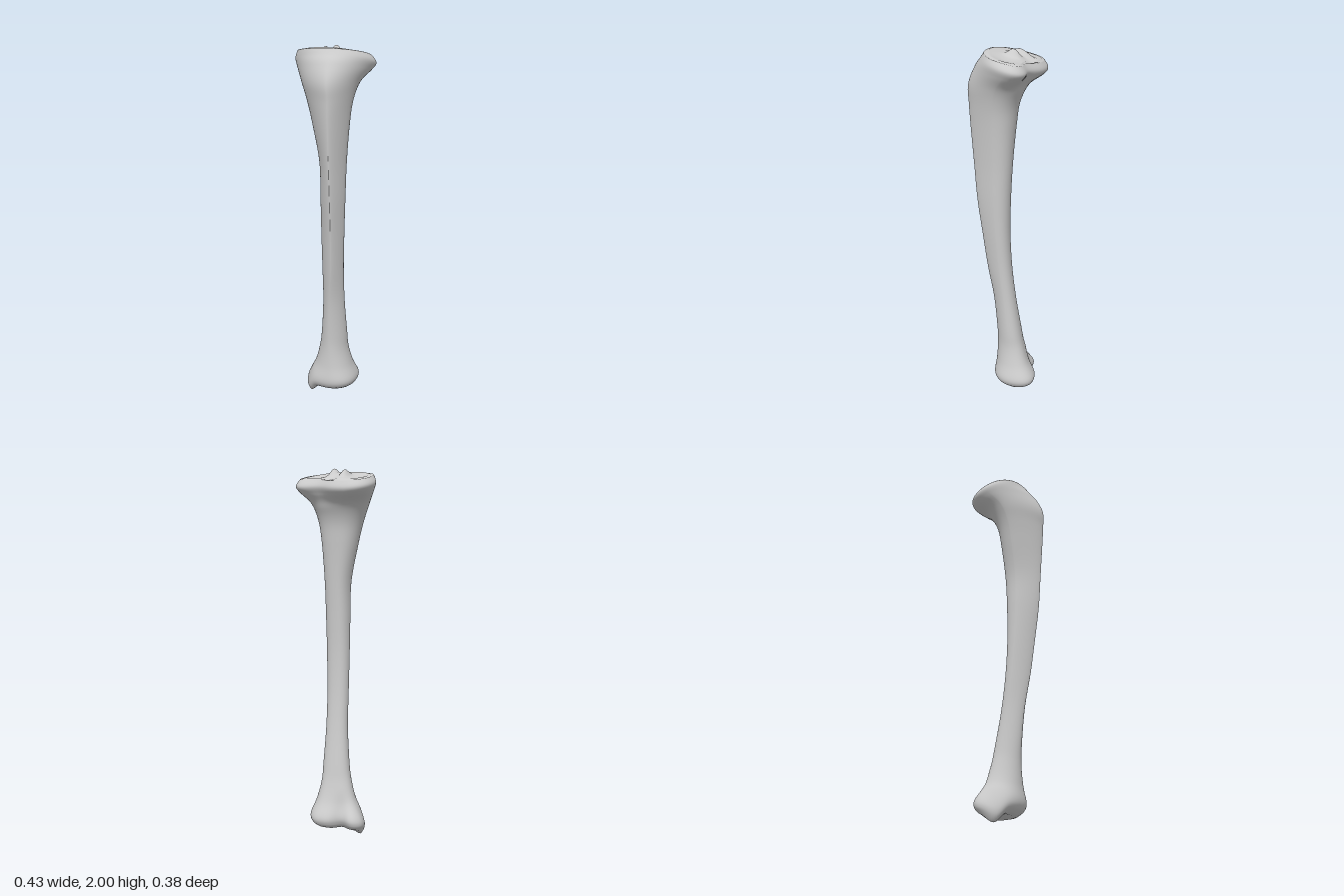
import * as THREE from 'three';

const SEG = 72;
const smooth = THREE.MathUtils.smoothstep;
const bump = (d, w) => Math.exp(-(d / w) * (d / w));

// Cross-sections, bottom to top:
// height, min x, max x, front z, back z, crest x, rearmost x, crest sharpness
const SECTIONS = [
  [0.055, -0.155, 0.095, 0.03, -0.145, -0.02, 0.03, 1],
  [0.08, -0.172, 0.12, 0.055, -0.17, -0.01, 0.04, 0.9],
  [0.12, -0.163, 0.13, 0.065, -0.175, 0, 0.04, 0.9],
  [0.2, -0.115, 0.103, 0.055, -0.135, 0, 0.03, 1],
  [0.3, -0.085, 0.082, 0.05, -0.105, 0, 0.02, 1.1],
  [0.4, -0.068, 0.078, 0.053, -0.087, 0, 0.01, 1.15],
  [0.6, -0.05, 0.072, 0.07, -0.055, 0.01, 0.01, 1.25],
  [0.8, -0.046, 0.075, 0.1, -0.032, 0.03, 0.01, 1.4],
  [1.0, -0.045, 0.083, 0.125, -0.022, 0.04, 0.01, 1.45],
  [1.2, -0.045, 0.09, 0.15, -0.025, 0.045, 0.01, 1.45],
  [1.4, -0.05, 0.096, 0.165, -0.035, 0.045, 0.01, 1.45],
  [1.6, -0.09, 0.11, 0.18, -0.05, 0.045, 0, 1.4],
  [1.72, -0.122, 0.126, 0.187, -0.065, 0.045, -0.01, 1.35],
  [1.81, -0.16, 0.153, 0.19, -0.105, 0.04, -0.03, 1.3],
  [1.88, -0.2, 0.198, 0.155, -0.165, 0.03, -0.08, 1.15],
  [1.925, -0.217, 0.217, 0.125, -0.19, 0.02, -0.1, 1],
  [1.96, -0.2, 0.195, 0.105, -0.17, 0, -0.1, 0.85],
];

// Smoothly blended section at t in 0..1
function sectionAt(t) {
  const last = SECTIONS.length - 1;
  const f = t * last, i = Math.min(Math.floor(f), last - 1), u = f - i;
  const row = (k) => SECTIONS[THREE.MathUtils.clamp(k, 0, last)];
  return SECTIONS[0].map((_, c) => {
    const [a, b, d, e] = [i - 1, i, i + 1, i + 2].map((k) => row(k)[c]);
    const m0 = (d - a) / 2, m1 = (e - b) / 2;
    return b + u * (m0 + u * (3 * (d - b) - 2 * m0 - m1 + u * (2 * (b - d) + m0 + m1)));
  });
}

// Ring of points: four quarter curves joining crest, sides and back
function makeRing([y, xL, xR, zF, zB, crest, rear, sharp]) {
  const top = smooth(y, 1.78, 1.92), foot = 1 - smooth(y, 0.06, 0.28);
  const zW = zB + (zF - zB) * 0.42;
  const ring = [];
  for (let j = 0; j < SEG; j++) {
    const a = (j / SEG) * Math.PI * 2, s = Math.sin(a), c = Math.cos(a);
    const front = c >= 0, e = front ? sharp : 0.88;
    const mid = front ? crest : rear, side = s >= 0 ? xR : xL;
    const x = mid + (side - mid) * Math.abs(s) ** e;
    let z = zW + ((front ? zF : zB) - zW) * Math.abs(c) ** e;
    // hollow behind the outer condyle and groove behind the ankle knob
    if (!front) {
      z += -c * (0.05 * top * bump(x - 0.08, 0.09) + 0.045 * foot * bump(x + 0.065, 0.045));
    }
    ring.push(new THREE.Vector3(x, y + 0.22 * top * z, z));
  }
  return ring;
}

// Ring shrunk toward a centre, with its height reshaped by a rule
const shrink = (ring, s, cx, cz, height) => ring.map((p) => {
  const x = cx + (p.x - cx) * s, z = cz + (p.z - cz) * s;
  return new THREE.Vector3(x, height(x, z, s), z);
});

// Joint surface at the knee: two shallow dishes and a pair of small spines
const kneeHeight = (x, z, s) => 1.96 + 0.22 * z + 0.008 * smooth(1 - s, 0, 0.15)
  - 0.012 * bump(x - 0.11, 0.06) * bump(z + 0.02, 0.07)
  - 0.012 * bump(x + 0.13, 0.05) * bump(z + 0.05, 0.08)
  + 0.032 * bump(x + 0.055, 0.022) * bump(z + 0.06, 0.05)
  + 0.036 * bump(x - 0.012, 0.025) * bump(z + 0.04, 0.035)
  - 0.012 * bump(x - 0.01, 0.04) * bump(z + 0.14, 0.05);

// Joint surface at the ankle: a shallow arch
const ankleHeight = (x, z, s) => 0.055 - 0.008 * smooth(1 - s, 0, 0.2)
  + 0.018 * (1 - s) * bump(z + 0.055, 0.06);

function buildBone() {
  const rings = [];
  const bottom = makeRing(sectionAt(0)), top = makeRing(sectionAt(1));
  for (let i = 0; i < 14; i++) rings.push(shrink(bottom, i / 14, -0.02, -0.055, ankleHeight));
  for (let i = 0; i <= 112; i++) rings.push(makeRing(sectionAt(i / 112)));
  for (let i = 1; i <= 24; i++) rings.push(shrink(top, 1 - i / 24, -0.01, -0.04, kneeHeight));

  const pos = [], index = [];
  for (const ring of rings) {
    for (const p of ring) {
      // ankle knob pulled down on the inner side
      const pull = 0.058 * bump(p.x + 0.14, 0.04) * bump(p.z + 0.015, 0.06);
      pos.push(p.x, p.y - pull * (1 - smooth(p.y, 0.05, 0.18)), p.z);
    }
  }
  for (let i = 0; i < rings.length - 1; i++) {
    for (let j = 0; j < SEG; j++) {
      const k = (j + 1) % SEG, a = i * SEG + j, b = i * SEG + k;
      if (i > 0) index.push(a, b, a + SEG);
      if (i < rings.length - 2) index.push(b, b + SEG, a + SEG);
    }
  }
  const geo = new THREE.BufferGeometry();
  geo.setAttribute('position', new THREE.Float32BufferAttribute(pos, 3));
  geo.setIndex(index);
  geo.computeVertexNormals();
  // give each pole one shared normal
  for (const [start, ny] of [[0, -1], [(rings.length - 1) * SEG, 1]]) {
    for (let j = 0; j < SEG; j++) geo.attributes.normal.setXYZ(start + j, 0, ny, 0);
  }
  return geo;
}

export function createModel() {
  const group = new THREE.Group();
  group.name = 'shinBone';
  const bone = new THREE.Mesh(buildBone(), new THREE.MeshStandardMaterial({ color: 0xcccccc }));
  bone.name = 'tibia';
  group.add(bone);
  return group;
}
